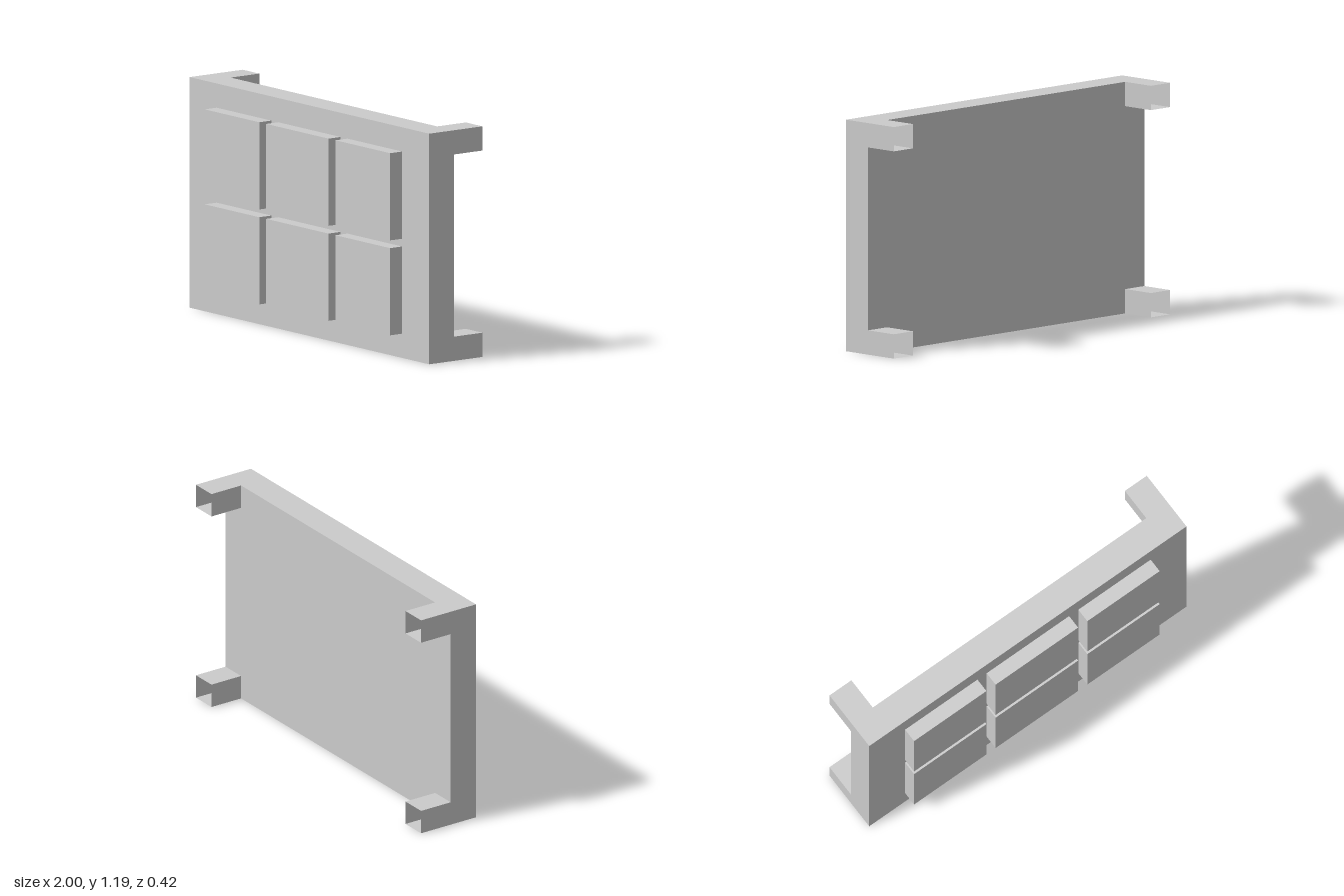
import * as THREE from 'three';

const W = 1, H = 1.19;                            // half width, height
const FRONT = 0.132, BACK = -0.025, END = -0.208; // z of panel front, panel back, post ends
const PX = 0.862, PY = 0.125;                     // inner x of posts, height of posts

export function createModel() {
  const model = new THREE.Group();
  const material = new THREE.MeshStandardMaterial({
    color: 0xcccccc, flatShading: true, side: THREE.DoubleSide,
  });

  const add = (name, geometry, x = 0, y = 0, z = 0, rx = 0, ry = 0) => {
    const mesh = new THREE.Mesh(geometry, material);
    mesh.name = name;
    mesh.position.set(x, y, z);
    mesh.rotation.set(rx, ry, 0);
    model.add(mesh);
  };
  const flat = (points) =>
    new THREE.ShapeGeometry(new THREE.Shape(points.map(([u, v]) => new THREE.Vector2(u, v))));

  // Front and back of the panel; the back leaves the corners open into the hollow posts
  add('panelFront', new THREE.PlaneGeometry(2 * W, H), 0, H / 2, FRONT);
  const top = H - PY;
  add('panelBack', flat([
    [-PX, 0], [PX, 0], [PX, PY], [W, PY], [W, top], [PX, top],
    [PX, H], [-PX, H], [-PX, top], [-W, top], [-W, PY], [-PX, PY],
  ]), 0, 0, BACK, 0, Math.PI);

  // Rim walls, each running on into the outer walls of the posts
  for (const s of [-1, 1]) {
    add(s > 0 ? 'leftWall' : 'rightWall', flat([
      [FRONT, 0], [FRONT, H], [END, H], [END, top],
      [BACK, top], [BACK, PY], [END, PY], [END, 0],
    ].map(([z, y]) => [-s * z, y])), s * W, 0, 0, 0, s * Math.PI / 2);

    add(s > 0 ? 'topWall' : 'bottomWall', flat([
      [-W, FRONT], [W, FRONT], [W, END], [PX, END],
      [PX, BACK], [-PX, BACK], [-PX, END], [-W, END],
    ].map(([x, z]) => [x, -s * z])), 0, s > 0 ? H : 0, 0, -s * Math.PI / 2);
  }

  // Inner walls of the four open-ended corner posts
  const depth = BACK - END, midZ = (BACK + END) / 2;
  for (const sx of [-1, 1]) {
    for (const sy of [-1, 1]) {
      const y = H / 2 + sy * (H / 2 - PY);
      add('postSide', new THREE.PlaneGeometry(depth, PY),
        sx * PX, y + sy * PY / 2, midZ, 0, -sx * Math.PI / 2);
      add('postInner', new THREE.PlaneGeometry(W - PX, depth),
        sx * (W + PX) / 2, y, midZ, sy * Math.PI / 2);
    }
  }

  // Raised pads: three columns by two rows
  const padDepth = 0.077, padHeight = 0.45;
  for (const [x, width] of [[-0.546, 0.456], [0, 0.52], [0.546, 0.456]]) {
    for (const y of [0.35, 0.84]) {
      add('pad', new THREE.BoxGeometry(width, padHeight, padDepth), x, y, FRONT + padDepth / 2);
    }
  }
  return model;
}
